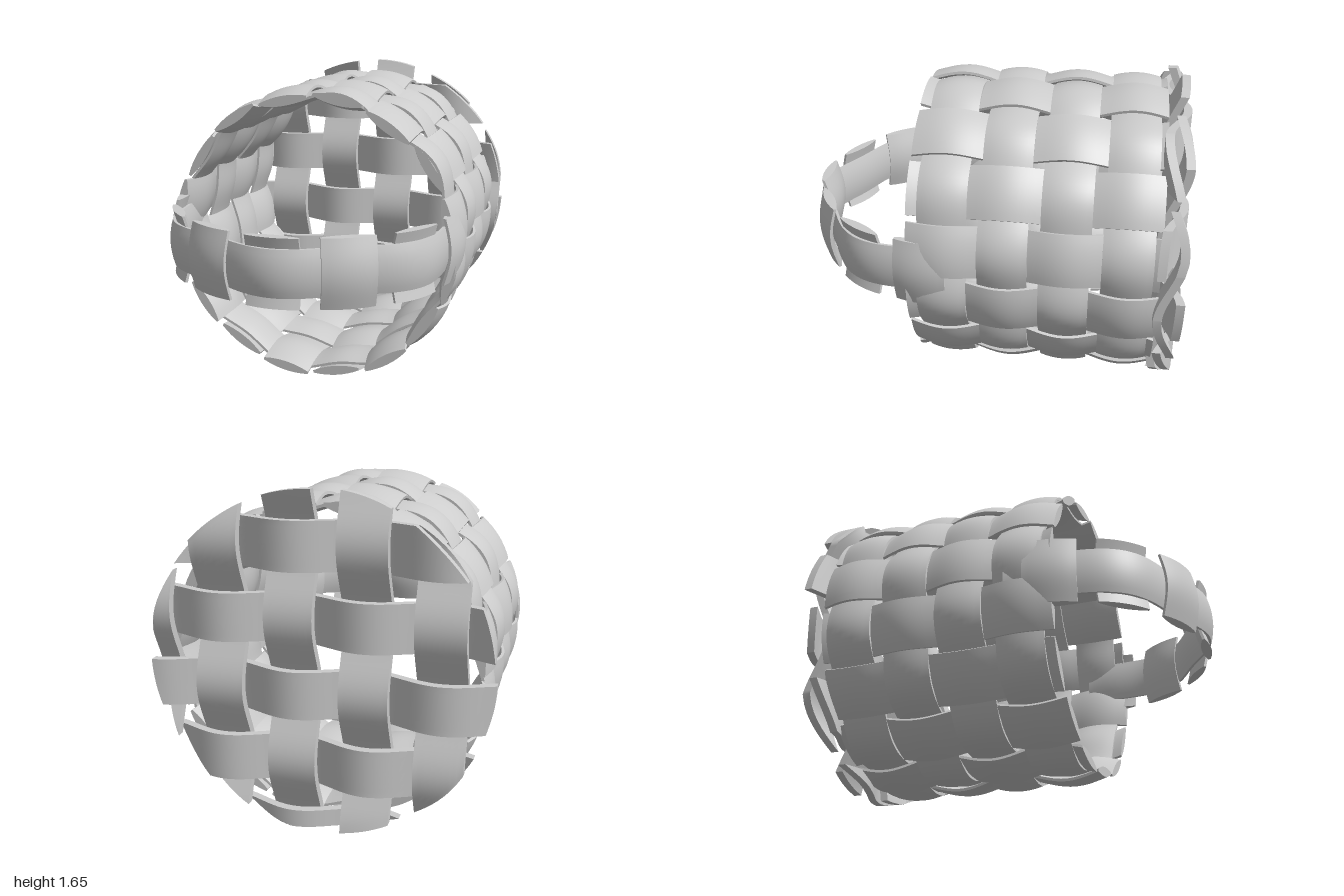
import * as THREE from 'three';
import { toCreasedNormals } from 'three/addons/utils/BufferGeometryUtils.js';

const material = new THREE.MeshStandardMaterial({ color: 0xcccccc, side: THREE.DoubleSide });
const V = (x, y, z) => new THREE.Vector3(x, y, z);

// Lens-shaped and flat strip thicknesses, u runs -1..1 across the strip
const lens = u => 0.007 + 0.019 * (1 - u * u);
const flat = () => 0.021;

// Lofts a ribbon: point(s, u, h) with s 0..1 along, u -1..1 across, h offset through the thickness
function ribbon(name, point, thickness, along, across = 8, closed = false) {
  const loop = [];
  for (let j = 0; j <= across; j++) loop.push([-1 + 2 * j / across, 1]);
  for (let j = across; j >= 0; j--) loop.push([-1 + 2 * j / across, -1]);
  const n = loop.length, rows = [], tris = [];
  for (let i = 0; i <= along; i++) {
    rows.push(loop.map(([u, side]) => point(i / along, u, side * thickness(u))));
  }
  const quad = (a, b, c, d) => tris.push(a, b, c, a, c, d);
  for (let i = 0; i < along; i++) {
    for (let j = 0; j < n; j++) {
      const k = (j + 1) % n;
      quad(rows[i][j], rows[i][k], rows[i + 1][k], rows[i + 1][j]);
    }
  }
  if (!closed) {
    const a = rows[0], b = rows[along];
    for (let j = 0; j < across; j++) {
      const k = n - 1 - j;
      quad(a[j], a[k], a[k - 1], a[j + 1]);
      quad(b[j], b[j + 1], b[k - 1], b[k]);
    }
  }
  // Turn the faces outward if the volume comes out negative
  let volume = 0;
  const cross = V(0, 0, 0), o = rows[0][0], p = V(0, 0, 0), q = V(0, 0, 0), r = V(0, 0, 0);
  for (let i = 0; i < tris.length; i += 3) {
    p.subVectors(tris[i], o); q.subVectors(tris[i + 1], o); r.subVectors(tris[i + 2], o);
    volume += p.dot(cross.crossVectors(q, r));
  }
  if (volume < 0) {
    for (let i = 0; i < tris.length; i += 3) [tris[i + 1], tris[i + 2]] = [tris[i + 2], tris[i + 1]];
  }
  const geometry = new THREE.BufferGeometry().setFromPoints(tris);
  const mesh = new THREE.Mesh(toCreasedNormals(geometry, 0.7), material);
  mesh.name = name;
  return mesh;
}

// Round wall: 16 lengthwise strips woven through 4 hoops
function createWall() {
  const wall = new THREE.Group();
  wall.name = 'wovenWall';
  const R = 0.747, A = 0.028, CY = 0.81, COUNT = 16, Z0 = 0.175, PITCH = 0.3;
  for (let i = 0; i < COUNT; i++) {
    const phi = (i + 0.5) * 2 * Math.PI / COUNT, sn = Math.sin(phi), cs = Math.cos(phi);
    const sign = i % 2 ? 1 : -1;
    wall.add(ribbon('lengthwiseStrip', (s, u, h) => {
      const z = 0.35 - s * 1.23;
      const r = R + sign * A * Math.cos(Math.PI * (z - Z0) / PITCH) + h;
      const t = u * 0.132;
      return V(sn * r + cs * t, CY + cs * r - sn * t, z);
    }, lens, 36));
  }
  for (let k = 0; k < 4; k++) {
    const sign = k % 2 ? -1 : 1;
    wall.add(ribbon('hoop', (s, u, h) => {
      const phi = s * 2 * Math.PI;
      const r = R + sign * A * Math.cos(COUNT / 2 * phi - Math.PI / 2) + h;
      return V(Math.sin(phi) * r, CY + Math.cos(phi) * r, Z0 - k * PITCH + u * 0.122);
    }, lens, 160, 8, true));
  }
  return wall;
}

// Flat woven base at the back, trimmed to a circle
function createBase() {
  const base = new THREE.Group();
  base.name = 'wovenBase';
  const CX = 0.125, RY = 0.335, PITCH = 0.353, HALF = 0.117, R = 0.825, CY = 0.826, Z = -0.93, A = 0.05;
  const chord = d => Math.sqrt(Math.max(0.0004, R * R - d * d));
  const wave = (v, first) => Math.cos(Math.PI * (v - first) / PITCH);
  const parity = n => (Math.abs(n) % 2 ? -1 : 1);
  for (let a = -2; a <= 2; a++) {
    const lo = CX + a * PITCH - HALF, hi = Math.min(lo + 2 * HALF, 0.815);
    base.add(ribbon('uprightBaseStrip', (s, u, h) => {
      const x = lo + (hi - lo) * (u + 1) / 2;
      const y = CY + (2 * s - 1) * chord(x);
      return V(x, y, Z - parity(a) * A * wave(y, RY) + h);
    }, flat, 48));
  }
  for (let b = -1; b <= 3; b++) {
    const mid = RY + b * PITCH, lo = Math.max(mid - HALF, 0.012), hi = mid + HALF;
    base.add(ribbon('crosswiseBaseStrip', (s, u, h) => {
      const y = lo + (hi - lo) * (u + 1) / 2;
      const x = (2 * s - 1) * chord(y - CY);
      return V(x, y, Z + parity(b) * A * wave(x, CX) + h);
    }, flat, 48));
  }
  return base;
}

// Arched handle: one long strip woven through short cross pieces
function createHandle() {
  const handle = new THREE.Group();
  handle.name = 'handle';
  const R = 0.747, A = 0.027, CY = 0.828, CZ = 0.2, FIRST = 0.04, STEP = 0.475;
  const at = (angle, r, y) => V(Math.sin(angle) * r, y, CZ + Math.cos(angle) * r);
  handle.add(ribbon('handleStrip', (s, u, h) => {
    const angle = -1.68 + s * 3.36;
    const r = R + A * Math.cos(Math.PI * (angle - FIRST) / STEP) + h;
    return at(angle, r, CY + u * 0.118);
  }, lens, 90));
  for (let i = -3; i <= 3; i++) {
    const mid = FIRST + i * STEP, sign = i % 2 ? 1 : -1;
    handle.add(ribbon('handleCrossPiece', (s, u, h) => {
      const y = (2 * s - 1) * 0.172;
      const r = R + sign * A * Math.cos(Math.PI * y / 0.3) + h, t = u * 0.132;
      return at(mid, r, CY + y).add(V(Math.cos(mid) * t, 0, -Math.sin(mid) * t));
    }, lens, 14));
  }
  return handle;
}

export function createModel() {
  const model = new THREE.Group();
  model.name = 'wovenBasket';
  model.add(createWall(), createBase(), createHandle());
  return model;
}
